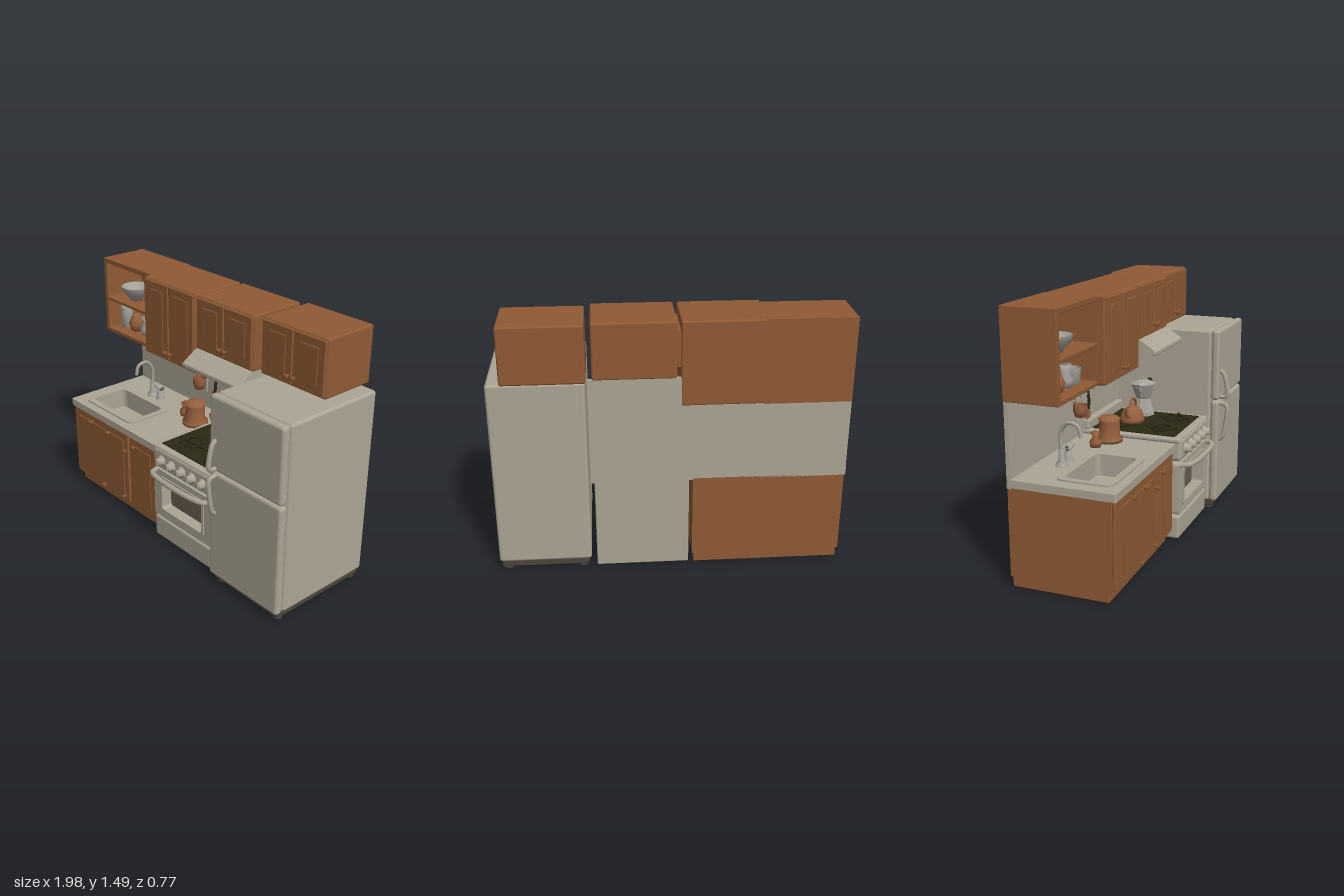
import * as THREE from 'three';
import { RoundedBoxGeometry } from 'three/addons/geometries/RoundedBoxGeometry.js';

const material = (name, color, side = THREE.FrontSide) => {
  const m = new THREE.MeshStandardMaterial({ color, side });
  m.name = name;
  return m;
};

export function createModel() {
  const root = new THREE.Group();
  root.name = 'kitchen';
  const cream = material('cream enamel', 0xaca595, THREE.DoubleSide);
  const wood = material('brown wood', 0x8f5a34);
  const copper = material('copper', 0x96603e, THREE.DoubleSide);
  const steel = material('pale steel', 0xa5a199, THREE.DoubleSide);
  const olive = material('dark olive iron', 0x2b2913);
  const shade = material('dark base', 0x4c453c);
  const glass = material('oven interior', 0x675e52);

  // ---- helpers ----
  const add = (name, geo, mat, x = 0, y = 0, z = 0) => {
    const m = new THREE.Mesh(geo, mat);
    m.name = name;
    m.position.set(x, y, z);
    root.add(m);
    return m;
  };
  const box = (name, mat, x0, x1, y0, y1, z0, z1, r = 0.008) => {
    const s = [x1 - x0, y1 - y0, z1 - z0];
    const geo = r ? new RoundedBoxGeometry(...s, 2, Math.min(r, Math.min(...s) * 0.45)) : new THREE.BoxGeometry(...s);
    return add(name, geo, mat, (x0 + x1) / 2, (y0 + y1) / 2, (z0 + z1) / 2);
  };
  const lathe = (name, mat, x, y, z, pts) =>
    add(name, new THREE.LatheGeometry(pts.map(p => new THREE.Vector2(...p)), 24), mat, x, y, z);
  const tube = (name, mat, r, pts) =>
    add(name, new THREE.TubeGeometry(new THREE.CatmullRomCurve3(pts.map(p => new THREE.Vector3(...p))), 24, r, 8), mat);
  const rect = (P, x0, x1, y0, y1, r) => {
    const p = new P();
    p.moveTo(x0 + r, y0);
    p.lineTo(x1 - r, y0); p.quadraticCurveTo(x1, y0, x1, y0 + r);
    p.lineTo(x1, y1 - r); p.quadraticCurveTo(x1, y1, x1 - r, y1);
    p.lineTo(x0 + r, y1); p.quadraticCurveTo(x0, y1, x0, y1 - r);
    p.lineTo(x0, y0 + r); p.quadraticCurveTo(x0, y0, x0 + r, y0);
    return p;
  };
  const frame = (outer, inner, depth) => {
    const s = rect(THREE.Shape, ...outer);
    s.holes.push(rect(THREE.Path, ...inner));
    return new THREE.ExtrudeGeometry(s, { depth, bevelEnabled: false, curveSegments: 5 });
  };
  // Horizontal slab with an opening, hanging down from yTop
  const slab = (name, mat, outer, inner, yTop, depth) =>
    add(name, frame(outer, inner, depth).rotateX(Math.PI / 2), mat, 0, yTop, 0);
  // Cabinet door: a thin slab with a raised centre panel
  const door = (x0, x1, y0, y1, z) => {
    box('cabinetDoor', wood, x0, x1, y0, y1, z - 0.02, z, 0.006);
    box('doorPanel', wood, x0 + 0.045, x1 - 0.045, y0 + 0.045, y1 - 0.045, z - 0.006, z + 0.004, 0.004);
  };
  const knob = (x, y, z) => {
    const k = lathe('cabinetKnob', wood, x, y, z, [[0.008, 0], [0.006, 0.01], [0.015, 0.016], [0.013, 0.024], [0, 0.027]]);
    k.rotation.x = Math.PI / 2;
  };

  // ---- wall ----
  box('backsplash', cream, -0.985, 0.45, 0.55, 1.17, -0.357, -0.335, 0);

  // ---- base cabinet, counter and sink ----
  const hole = [-0.875, -0.46, -0.09, 0.15, 0.04];
  box('toeKick', wood, -0.97, -0.13, 0.005, 0.075, -0.35, 0.195, 0.004);
  box('baseCabinet', wood, -0.98, -0.12, 0.065, 0.46, -0.357, 0.215, 0);
  slab('cabinetTopFrame', wood, [-0.98, -0.12, -0.357, 0.215, 0.002], [-0.89, -0.445, -0.105, 0.165, 0.04], 0.56, 0.1);
  door(-0.975, -0.4, 0.075, 0.55, 0.235);
  door(-0.385, -0.13, 0.075, 0.55, 0.235);
  slab('counter', cream, [-0.99, -0.11, -0.357, 0.245, 0.012], hole, 0.6, 0.042);
  slab('sinkRim', cream, [-0.91, -0.425, -0.125, 0.19, 0.05], hole, 0.609, 0.012);
  slab('sinkWalls', cream, [-0.888, -0.447, -0.103, 0.163, 0.05], hole, 0.598, 0.13);
  box('sinkFloor', cream, -0.88, -0.455, 0.463, 0.485, -0.095, 0.155, 0);
  lathe('sinkDrain', steel, -0.67, 0.485, 0.03, [[0.028, 0], [0.024, 0.005], [0, 0.003]]);
  for (const [x, y] of [[-0.42, 0.44], [-0.44, 0.11], [-0.66, 0.1], [-0.77, 0.51], [-0.59, 0.5], [-0.33, 0.5]]) knob(x, y, 0.235);

  // ---- faucet ----
  lathe('faucetBase', steel, -0.69, 0.6, -0.19, [[0.035, 0], [0.032, 0.015], [0.017, 0.03], [0.016, 0.09], [0, 0.095]]);
  tube('faucetSpout', steel, 0.011, [[-0.69, 0.66, -0.19], [-0.69, 0.79, -0.19], [-0.695, 0.84, -0.15], [-0.7, 0.83, -0.09], [-0.7, 0.77, -0.07]]);
  lathe('tapBase', steel, -0.61, 0.6, -0.19, [[0.03, 0], [0.022, 0.02], [0.018, 0.06], [0, 0.07]]);
  tube('tapLever', steel, 0.011, [[-0.65, 0.69, -0.18], [-0.61, 0.665, -0.19], [-0.565, 0.69, -0.18]]);

  // ---- stove ----
  box('stoveBody', cream, -0.1, 0.43, 0.01, 0.615, -0.355, 0.19, 0.008);
  box('stoveDrawer', cream, -0.1, 0.43, 0.01, 0.15, 0.17, 0.265, 0.015);
  add('ovenDoor', frame([-0.1, 0.43, 0.16, 0.475, 0.02], [-0.025, 0.335, 0.22, 0.425, 0.02], 0.075), cream, 0, 0, 0.19);
  add('ovenWindowFrame', frame([-0.04, 0.35, 0.205, 0.44, 0.02], [-0.022, 0.332, 0.223, 0.422, 0.02], 0.008), cream, 0, 0, 0.265);
  box('ovenInterior', glass, -0.03, 0.34, 0.215, 0.43, 0.192, 0.2, 0);
  box('controlPanel', cream, -0.1, 0.43, 0.485, 0.62, 0.16, 0.272, 0.025);
  box('stoveTop', cream, -0.105, 0.435, 0.595, 0.625, -0.355, 0.265, 0.012);
  box('cooktop', olive, -0.07, 0.39, 0.622, 0.63, -0.29, 0.225, 0);
  box('stoveBackGuard', cream, -0.1, 0.43, 0.62, 0.68, -0.345, -0.3, 0.012);
  tube('ovenHandle', cream, 0.016, [[-0.08, 0.465, 0.26], [-0.065, 0.465, 0.305], [0.03, 0.465, 0.33], [0.165, 0.465, 0.335], [0.3, 0.465, 0.33], [0.395, 0.465, 0.305], [0.41, 0.465, 0.26]]);
  for (let i = 0; i < 5; i++) {
    const k = lathe('stoveKnob', cream, -0.015 + i * 0.09, 0.55, 0.268, [[0.034, 0], [0.032, 0.01], [0.024, 0.014], [0.021, 0.038], [0, 0.04]]);
    k.rotation.x = Math.PI / 2;
    box('knobGrip', cream, -0.02 + i * 0.09, -0.01 + i * 0.09, 0.53, 0.57, 0.29, 0.314, 0.004);
  }
  for (const x of [0.05, 0.28]) for (const z of [-0.16, 0.1]) {
    add('burnerRing', new THREE.TorusGeometry(0.06, 0.008, 6, 20).rotateX(Math.PI / 2), olive, x, 0.638, z);
    box('grateBar', olive, x - 0.1, x + 0.1, 0.63, 0.643, z - 0.006, z + 0.006, 0);
    box('grateBar', olive, x - 0.006, x + 0.006, 0.63, 0.643, z - 0.1, z + 0.1, 0);
  }

  // ---- kettle and coffee pot ----
  lathe('kettle', copper, 0.09, 0.643, -0.1, [[0, 0], [0.068, 0], [0.074, 0.02], [0.06, 0.065], [0.035, 0.088], [0.012, 0.096], [0.014, 0.108], [0, 0.115]]);
  tube('kettleSpout', copper, 0.011, [[0.04, 0.68, -0.1], [0.005, 0.7, -0.1], [-0.015, 0.74, -0.1]]);
  tube('kettleHandle', copper, 0.008, [[0.145, 0.69, -0.1], [0.145, 0.755, -0.1], [0.09, 0.785, -0.1], [0.05, 0.74, -0.1]]);
  const pot = lathe('coffeePot', steel, 0.275, 0.643, -0.1, [[0, 0], [0.072, 0], [0.07, 0.02], [0.044, 0.105], [0.05, 0.115], [0.078, 0.195], [0.03, 0.215], [0.01, 0.22], [0.012, 0.23], [0, 0.235]]);
  pot.geometry = (g => { const h = new THREE.LatheGeometry(g.parameters.points, 8).toNonIndexed(); h.computeVertexNormals(); return h; })(pot.geometry);
  tube('coffeePotSpout', steel, 0.013, [[0.225, 0.79, -0.1], [0.2, 0.81, -0.1], [0.175, 0.838, -0.1]]);
  tube('coffeePotHandle', olive, 0.012, [[0.33, 0.825, -0.1], [0.395, 0.835, -0.1], [0.405, 0.8, -0.1], [0.375, 0.74, -0.1]]);

  // ---- counter pots and hanging tools ----
  lathe('copperCanister', copper, -0.19, 0.6, -0.13, [[0, 0], [0.078, 0], [0.08, 0.02], [0.062, 0.03], [0.06, 0.125], [0.066, 0.13], [0.05, 0.145], [0, 0.15]]);
  lathe('pepperMill', copper, -0.32, 0.6, -0.16, [[0, 0], [0.032, 0], [0.034, 0.03], [0.016, 0.055], [0.026, 0.08], [0, 0.1]]);
  for (const y of [0.88, 0.905]) tube('utensilRail', steel, 0.008, [[-0.43, y, -0.3], [-0.25, y, -0.3], [-0.06, y, -0.3]]);
  for (let i = 0; i < 7; i++) {
    const x = -0.42 + i * 0.058;
    tube('railHook', steel, 0.005, [[x, 0.905, -0.335], [x, 0.905, -0.3], [x, 0.87, -0.285], [x, 0.865, -0.265]]);
  }
  tube('ladleHandle', copper, 0.008, [[-0.345, 0.88, -0.28], [-0.335, 0.82, -0.27], [-0.33, 0.79, -0.27]]);
  lathe('ladleCup', copper, -0.3, 0.755, -0.26, [[0, 0], [0.03, 0.005], [0.042, 0.04], [0.04, 0.075]]);
  tube('spatulaHandle', olive, 0.009, [[-0.16, 0.89, -0.28], [-0.16, 0.83, -0.27], [-0.165, 0.77, -0.27]]);
  box('spatulaBlade', copper, -0.195, -0.14, 0.71, 0.78, -0.28, -0.27, 0.004);
  tube('spoonHandle', steel, 0.007, [[-0.24, 0.88, -0.28], [-0.24, 0.8, -0.27], [-0.24, 0.75, -0.27]]);

  // ---- open shelf ----
  box('shelfBack', wood, -0.985, -0.5, 1.005, 1.485, -0.36, -0.33, 0);
  box('shelfSide', wood, -0.985, -0.955, 1.005, 1.485, -0.36, -0.055, 0.004);
  for (const [y0, y1] of [[1.005, 1.03], [1.215, 1.235], [1.455, 1.485]]) box('shelfBoard', wood, -0.985, -0.5, y0, y1, -0.36, -0.055, 0.004);
  const sy = 1.03, sz = -0.16;
  lathe('bowl', steel, -0.795, 1.235, sz, [[0, 0], [0.04, 0], [0.042, 0.012], [0.08, 0.05], [0.095, 0.088], [0.088, 0.088], [0.06, 0.04], [0, 0.02]]);
  lathe('whiteJar', steel, -0.9, sy, sz, [[0, 0], [0.04, 0], [0.042, 0.1], [0.034, 0.11], [0.04, 0.12], [0.036, 0.145], [0, 0.15]]);
  lathe('copperJar', copper, -0.8, sy, sz, [[0, 0], [0.035, 0], [0.05, 0.045], [0.035, 0.085], [0.024, 0.092], [0.026, 0.108], [0, 0.112]]);
  lathe('whiteVase', steel, -0.69, sy, sz, [[0, 0], [0.034, 0], [0.046, 0.04], [0.024, 0.085], [0.036, 0.122], [0.02, 0.09], [0, 0.088]]);
  lathe('mug', steel, -0.59, sy, sz, [[0, 0], [0.037, 0], [0.04, 0.085], [0.034, 0.085], [0.032, 0.01], [0, 0.01]]);
  add('mugHandle', new THREE.TorusGeometry(0.024, 0.006, 6, 14), steel, -0.632, sy + 0.045, sz);

  // ---- wall cabinets ----
  const wallCabinet = (x0, x1, y0, y1, z0, z1) => {
    box('wallCabinet', wood, x0, x1, y0, y1, z0, z1 - 0.012, 0.012);
    const mid = (x0 + x1) / 2;
    door(x0 + 0.008, mid - 0.003, y0 + 0.01, y1 - 0.01, z1);
    door(mid + 0.003, x1 - 0.008, y0 + 0.01, y1 - 0.01, z1);
    for (const s of [-1, 1]) knob(mid + s * 0.022, y0 + 0.06, z1);
  };
  wallCabinet(-0.51, -0.05, 1.005, 1.485, -0.36, 0);
  wallCabinet(-0.03, 0.425, 1.165, 1.485, -0.36, 0);
  wallCabinet(0.455, 0.91, 1.16, 1.485, -0.388, -0.035);
  box('cabinetFiller', wood, -0.06, -0.02, 1.23, 1.43, -0.35, -0.06, 0);

  // ---- range hood: sloping wedge ----
  const hood = new THREE.Shape([[-0.34, 1.1], [0.09, 1.085], [0.09, 1.108], [0, 1.167], [-0.34, 1.167]].map(p => new THREE.Vector2(-p[0], p[1])));
  add('rangeHood', new THREE.ExtrudeGeometry(hood, { depth: 0.46, bevelEnabled: false }).rotateY(Math.PI / 2), cream, -0.035, 0, 0);
  box('hoodLip', cream, -0.04, 0.43, 1.083, 1.108, 0.075, 0.095, 0.006);

  // ---- refrigerator ----
  box('fridgeBase', shade, 0.475, 0.975, 0.015, 0.06, -0.345, 0.295, 0.008);
  for (const x of [0.51, 0.94]) for (const z of [-0.31, 0.26]) add('fridgeFoot', new THREE.CylinderGeometry(0.03, 0.03, 0.02, 12), shade, x, 0.01, z);
  box('fridgeBody', cream, 0.46, 0.99, 0.052, 1.155, -0.355, 0.272, 0.018);
  box('doorSeal', cream, 0.472, 0.978, 0.065, 1.145, 0.26, 0.29, 0);
  box('fridgeDoor', cream, 0.458, 0.992, 0.052, 0.712, 0.276, 0.326, 0.02);
  box('freezerDoor', cream, 0.458, 0.992, 0.718, 1.157, 0.276, 0.326, 0.02);
  const handle = (name, yEnd, yMid) => {
    const d = yEnd - yMid;
    tube(name, cream, 0.014, [[0.505, yEnd, 0.318], [0.505, yEnd - d * 0.12, 0.345], [0.505, yMid + d * 0.5, 0.364], [0.505, yMid + d * 0.12, 0.371], [0.505, yMid + d * 0.03, 0.36], [0.505, yMid, 0.318]]);
  };
  handle('freezerHandle', 0.905, 0.735);
  handle('fridgeHandle', 0.455, 0.695);
  return root;
}
